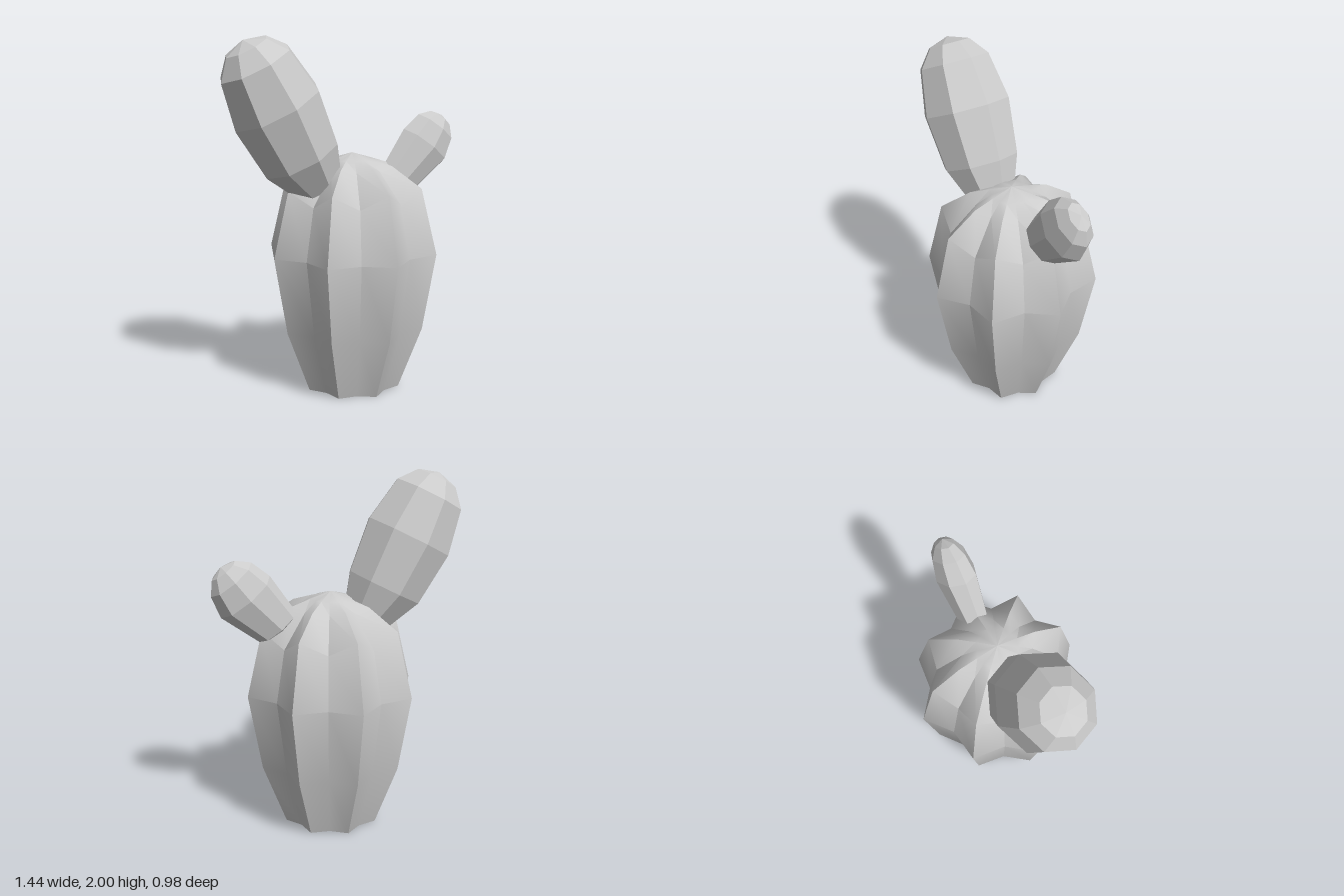
import * as THREE from 'three';
import { toCreasedNormals } from 'three/addons/utils/BufferGeometryUtils.js';

const SIDES = 8;

// Skin a stack of closed loops (bottom to top); a loop collapsed to a point makes a tip.
function skin(loops) {
  const out = [];
  const tri = (a, b, c) => {
    if (a.equals(b) || b.equals(c) || a.equals(c)) return;
    out.push(...a, ...b, ...c);
  };
  for (let k = 0; k + 1 < loops.length; k++) {
    const lo = loops[k], hi = loops[k + 1], n = lo.length;
    for (let i = 0; i < n; i++) {
      const j = (i + 1) % n;
      tri(lo[i], hi[i], hi[j]);
      tri(lo[i], hi[j], lo[j]);
    }
  }
  const geo = new THREE.BufferGeometry();
  geo.setAttribute('position', new THREE.Float32BufferAttribute(out, 3));
  geo.computeVertexNormals();
  return geo;
}

// Star-shaped loop alternating ridge and valley points.
function starLoop([ridgeR, ridgeY, valleyR, valleyY]) {
  return Array.from({ length: SIDES * 2 }, (_, i) => {
    const a = (i / (SIDES * 2)) * Math.PI * 2;
    const r = i % 2 ? valleyR : ridgeR;
    return new THREE.Vector3(r * Math.cos(a), i % 2 ? valleyY : ridgeY, r * Math.sin(a));
  });
}

// Faceted arm: rings are [height, radius, sideways offset], flattened in z.
function arm(name, rings, flatten, x, y, tilt) {
  const loops = rings.map(([h, r, dx = 0]) =>
    Array.from({ length: SIDES }, (_, i) => {
      const a = (i / SIDES) * Math.PI * 2;
      return new THREE.Vector3(dx + r * Math.cos(a), h, r * flatten * Math.sin(a));
    }));
  const mesh = new THREE.Mesh(skin(loops),
    new THREE.MeshStandardMaterial({ color: 0xcccccc, flatShading: true }));
  mesh.name = name;
  mesh.position.set(x, y, 0);
  mesh.rotation.z = tilt;
  return mesh;
}

export function createModel() {
  const group = new THREE.Group();
  group.name = 'cactus';

  // Ribbed trunk, open underneath: ridge radius, ridge y, valley radius, valley y
  const trunkRings = [
    [0.28, 0, 0.235, 0],
    [0.415, 0.36, 0.34, 0.36],
    [0.49, 0.8, 0.4, 0.8],
    [0.4, 1.17, 0.34, 1.09],
    [0.23, 1.29, 0.19, 1.27],
    [0.12, 1.325, 0.11, 1.32],
    [0, 1.36, 0, 1.36],
  ];
  const trunk = new THREE.Mesh(
    toCreasedNormals(skin(trunkRings.map(starLoop)), 0.6),
    new THREE.MeshStandardMaterial({ color: 0xcccccc, side: THREE.DoubleSide }));
  trunk.name = 'trunk';
  trunk.position.x = 0.05;
  group.add(trunk);

  // Large arm leaning to the right side
  group.add(arm('largeArm', [
    [-0.58, 0, 0.02], [-0.52, 0.14, 0.02], [-0.31, 0.23], [0, 0.264],
    [0.257, 0.213], [0.356, 0.125], [0.395, 0],
  ], 0.935, -0.415, 1.63, 0.483));

  // Small flattened arm leaning to the left side
  group.add(arm('smallArm', [
    [-0.3, 0, -0.03], [-0.25, 0.13, -0.03], [0, 0.172],
    [0.125, 0.14], [0.19, 0.08], [0.215, 0],
  ], 0.66, 0.534, 1.37, -0.645));

  return group;
}
